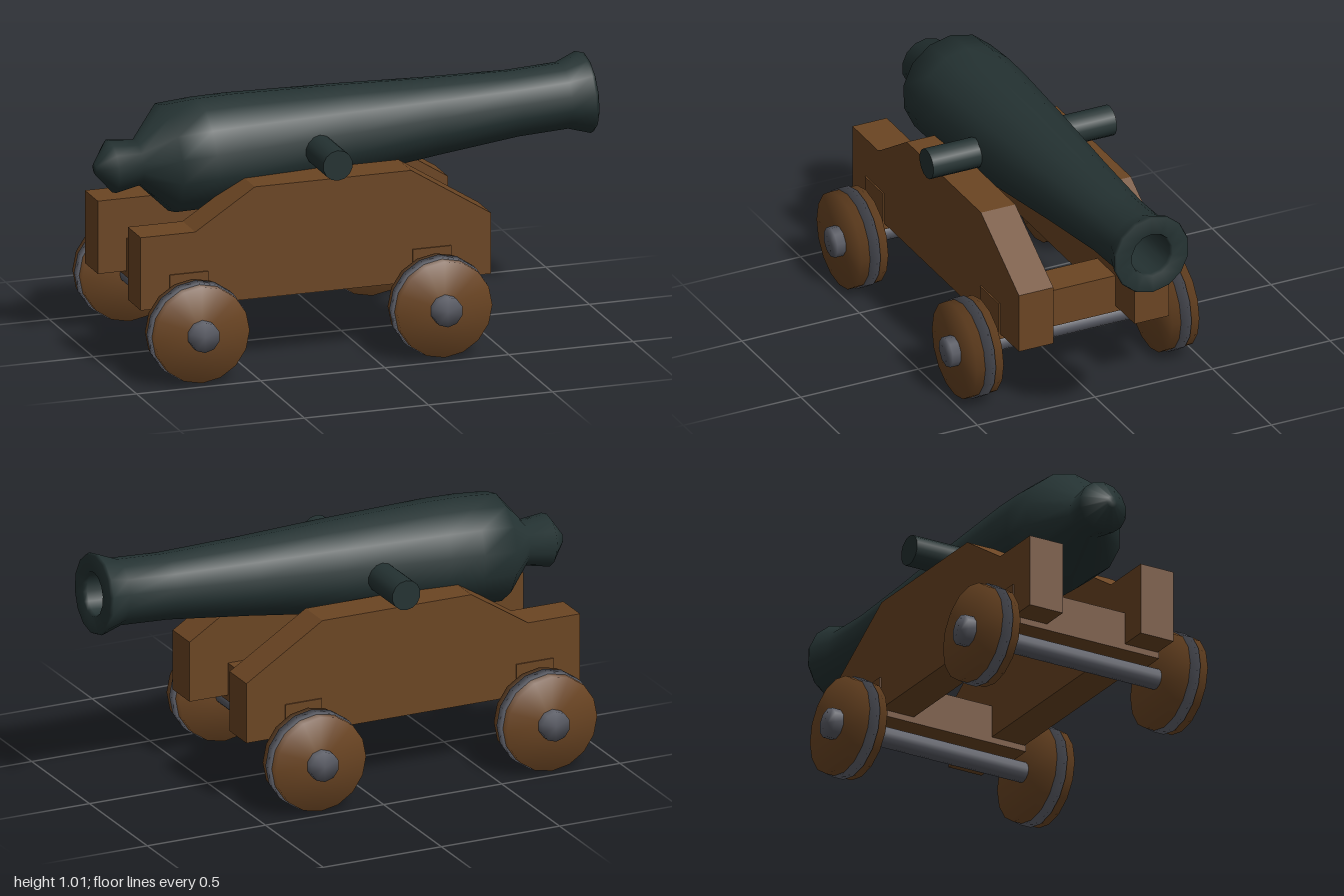
import * as THREE from 'three';

const iron = new THREE.MeshStandardMaterial({ name: 'dark gun iron', color: 0x243232 });
const wood = new THREE.MeshStandardMaterial({ name: 'brown wood', color: 0x6b4523 });
const steel = new THREE.MeshStandardMaterial({ name: 'grey steel', color: 0x5a5c65 });

const HALF_PI = Math.PI / 2;

function add(parent, name, geometry, material, x = 0, y = 0, z = 0) {
  const mesh = new THREE.Mesh(geometry, material);
  mesh.name = name;
  mesh.position.set(x, y, z);
  parent.add(mesh);
  return mesh;
}

// Turned solid from [radius, height] pairs, smooth across its edges
function turned(profile, sides, start = 0) {
  return new THREE.LatheGeometry(profile.map(([r, h]) => new THREE.Vector2(r, h)), sides, start);
}

// Solid disc or rod lying along z
function disc(radius, length, sides) {
  const h = length / 2;
  return turned([[0, -h], [radius, -h], [radius, h], [0, h]], sides).rotateX(HALF_PI);
}

function buildBarrel() {
  const barrel = new THREE.Group();
  barrel.name = 'barrel';

  // Breech knob, tapering tube, flared muzzle and hollow bore
  const tube = turned([
    [0, -0.995], [0.022, -0.995], [0.104, -0.93], [0.088, -0.825],
    [0.212, -0.71], [0.216, -0.57], [0.212, -0.43], [0.182, 0],
    [0.153, 0.35], [0.13, 0.69], [0.13, 0.89], [0.16, 0.975],
    [0.155, 0.988], [0.088, 0.988], [0.084, 0.97], [0.084, 0.5], [0, 0.5],
  ], 14, HALF_PI);
  tube.rotateZ(-HALF_PI + 0.0516);
  add(barrel, 'gunTube', tube, iron, 0, 0.799, 0);

  // Trunnion bar across the barrel
  const trunnion = new THREE.CylinderGeometry(0.06, 0.06, 0.78, 14).rotateX(HALF_PI);
  add(barrel, 'trunnion', trunnion, iron, -0.15, 0.788, 0);
  return barrel;
}

function buildCarriage() {
  const carriage = new THREE.Group();
  carriage.name = 'carriage';

  // Stepped side cheeks
  const outline = new THREE.Shape([
    [-0.92, 0.27], [0.492, 0.27], [0.492, 0.512], [0.17, 0.715],
    [-0.46, 0.715], [-0.7, 0.56], [-0.92, 0.56],
  ].map(([x, y]) => new THREE.Vector2(x, y)));
  const cheek = new THREE.ExtrudeGeometry(outline, { depth: 0.146, bevelEnabled: false });
  add(carriage, 'leftCheek', cheek, wood, 0, 0, 0.173);
  add(carriage, 'rightCheek', cheek, wood, 0, 0, -0.319);
  return carriage;
}

function buildWheelSet(name, x) {
  const set = new THREE.Group();
  set.name = name;
  set.position.set(x, 0.197, 0);

  // Crossbeam resting above the axle
  add(set, 'crossbeam', new THREE.BoxGeometry(0.155, 0.155, 0.65), wood, 0, 0.126, 0);
  add(set, 'axle', new THREE.CylinderGeometry(0.04, 0.04, 0.8, 12).rotateX(HALF_PI), steel);

  // Wheel, iron tyre and hub cap on both ends
  for (const side of [1, -1]) {
    add(set, 'wheel', disc(0.191, 0.114, 16), wood, 0, 0, side * 0.416);
    add(set, 'tyre', disc(0.197, 0.042, 16), steel, 0, 0, side * 0.416);
    add(set, 'hub', disc(0.06, 0.11, 10), steel, 0, 0, side * 0.454);
  }
  return set;
}

export function createModel() {
  const model = new THREE.Group();
  model.name = 'cannon';
  model.add(
    buildBarrel(),
    buildCarriage(),
    buildWheelSet('rearWheels', -0.726),
    buildWheelSet('frontWheels', 0.252),
  );
  return model;
}
